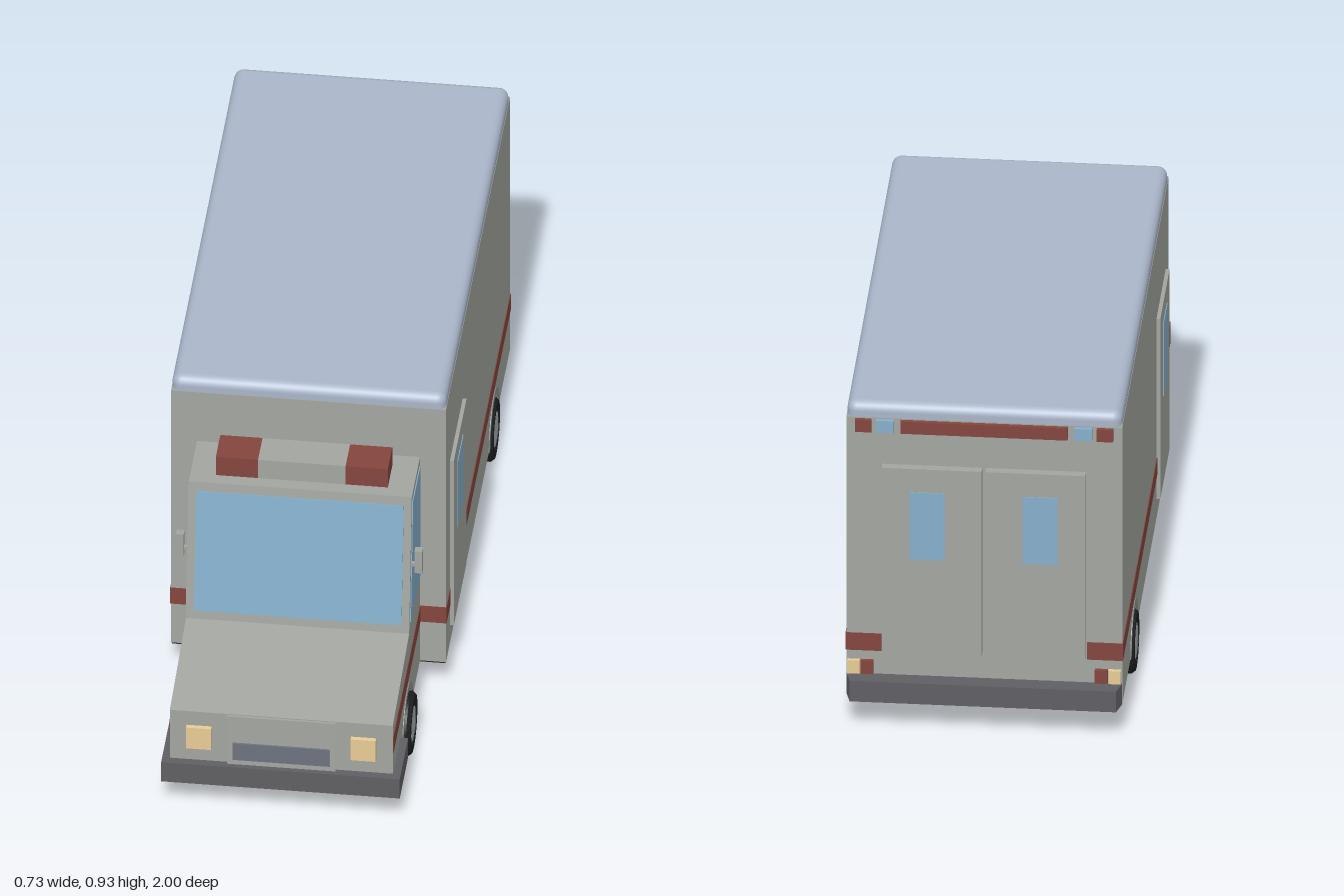
import * as THREE from 'three';
import { RoundedBoxGeometry } from 'three/addons/geometries/RoundedBoxGeometry.js';
import { toCreasedNormals } from 'three/addons/utils/BufferGeometryUtils.js';

const paint = (color) => new THREE.MeshStandardMaterial({ color });
const MAT = {
  body: paint(0xa3a6a0), roof: paint(0xaab6ca), glass: paint(0x86b0cc), red: paint(0x84463e),
  cream: paint(0xe8cc96), bumper: paint(0x606064), grille: paint(0x6d7380), floor: paint(0x2c2c2c),
  tyre: paint(0x1d2020), hub: paint(0xa8acb0), trim: paint(0x8e918c),
};

export function createModel() {
  const model = new THREE.Group();
  model.name = 'ambulance';

  const add = (name, geometry, mat) => {
    const mesh = new THREE.Mesh(geometry, MAT[mat]);
    mesh.name = name;
    model.add(mesh);
    return mesh;
  };
  // Box given by its limits on each axis
  const box = (name, mat, [x0, x1], [y0, y1], [z0, z1]) => {
    const mesh = add(name, new THREE.BoxGeometry(Math.abs(x1 - x0), y1 - y0, z1 - z0), mat);
    mesh.position.set((x0 + x1) / 2, (y0 + y1) / 2, (z0 + z1) / 2);
    return mesh;
  };
  // Side profile of [z, y] points extruded across x
  const profile = (name, mat, shape, x0, x1) => {
    const depth = Math.abs(x1 - x0);
    const geo = new THREE.ExtrudeGeometry(shape, { depth, bevelEnabled: false, curveSegments: 16 });
    geo.rotateY(-Math.PI / 2).translate(Math.max(x0, x1), 0, 0);
    return add(name, geo, mat);
  };
  const poly = (points) => new THREE.Shape(points.map(([z, y]) => new THREE.Vector2(z, y)));

  // Rear box body with rounded roof
  box('boxBody', 'body', [-0.355, 0.355], [0.087, 0.89], [-0.955, 0.405]);
  const roof = add('roof', new RoundedBoxGeometry(0.708, 0.08, 1.358, 4, 0.025), 'roof');
  roof.position.set(0, 0.89, -0.275);

  // Cab with sloping bonnet and windscreen
  profile('cab', 'body', poly([
    [0.4, 0.087], [0.977, 0.087], [0.98, 0.3], [0.635, 0.34], [0.58, 0.735], [0.4, 0.735],
  ]), -0.288, 0.288);
  box('underside', 'floor', [-0.353, 0.353], [0.083, 0.088], [-0.955, 0.404]);
  box('cabUnderside', 'floor', [-0.286, 0.286], [0.083, 0.088], [0.404, 0.975]);

  // Windscreen lies on the slanted front of the cab
  const slope = Math.atan2(0.055, 0.395);
  const screen = add('windscreen', new THREE.BoxGeometry(0.536, 0.348, 0.006), 'glass');
  screen.position.set(0, 0.5375, 0.6085);
  screen.rotation.x = -slope;

  // Nose panel, grille and bumpers
  box('nosePanel', 'body', [-0.14, 0.14], [0.14, 0.297], [0.95, 0.986]);
  box('grille', 'grille', [-0.125, 0.125], [0.163, 0.215], [0.97, 0.991]);
  box('frontBumper', 'bumper', [-0.308, 0.308], [0.085, 0.146], [0.82, 1]);
  const rear = new THREE.BoxGeometry(0.71, 0.06, 0.046);
  const pos = rear.attributes.position;
  for (let i = 0; i < pos.count; i++) if (pos.getZ(i) < 0) pos.setX(i, pos.getX(i) * 0.965);
  rear.computeVertexNormals();
  add('rearBumper', rear, 'bumper').position.set(0, 0.115, -0.977);

  // Light bar on the cab roof and light strip over the rear doors
  box('lightBarCentre', 'body', [-0.113, 0.113], [0.735, 0.793], [0.45, 0.545]);
  box('rearLightStrip', 'red', [-0.215, 0.215], [0.852, 0.887], [-0.966, -0.95]);

  // Wheel turned around its axle, outer face at +y before it is laid on its side
  const wheel = (name, s, z, inner, outer) => {
    const w = outer - inner;
    const rim = [[0, 0], [0.076, 0], [0.085, 0.01], [0.085, w - 0.01], [0.077, w],
      [0.056, w], [0.052, w - 0.01], [0, w - 0.01]].map(([r, a]) => new THREE.Vector2(r, a));
    const group = new THREE.Group();
    group.name = name;
    const tyre = new THREE.Mesh(toCreasedNormals(new THREE.LatheGeometry(rim, 24), 0.5), MAT.tyre);
    tyre.name = 'tyre';
    const hub = new THREE.Mesh(new THREE.CylinderGeometry(0.046, 0.05, 0.012, 24), MAT.hub);
    hub.name = 'hub';
    hub.position.y = w - 0.007;
    group.add(tyre, hub);
    group.position.set(s * inner, 0.085, z);
    group.rotation.z = -s * Math.PI / 2;
    model.add(group);
  };

  // Half ring around a wheel
  const arch = (s, z, x) => {
    const shape = new THREE.Shape();
    shape.absarc(z, 0.087, 0.108, 0, Math.PI, false);
    shape.absarc(z, 0.087, 0.089, Math.PI, 0, true);
    profile('wheelArch', 'trim', shape, s * (x - 0.01), s * (x + 0.002));
  };

  // Everything that is mirrored left and right
  for (const s of [-1, 1]) {
    const pair = (name, mat, [x0, x1], y, z) => box(name, mat, [s * x0, s * x1], y, z);

    wheel('frontWheel', s, 0.675, 0.205, 0.305);
    wheel('rearWheel', s, -0.61, 0.205, 0.362);
    arch(s, 0.675, 0.288);
    arch(s, -0.61, 0.355);

    // Cab side window
    profile('cabSideWindow', 'glass', poly([
      [0.417, 0.365], [0.617, 0.365], [0.57, 0.715], [0.417, 0.715],
    ]), s * 0.28, s * 0.2905);

    // Mirror on a short arm
    pair('mirror', 'body', [0.298, 0.318], [0.513, 0.582], [0.585, 0.605]);
    pair('mirrorArm', 'body', [0.28, 0.3], [0.53, 0.54], [0.59, 0.6]);

    // Side door with window
    pair('sideDoor', 'body', [0.35, 0.365], [0.143, 0.667], [0.05, 0.32]);
    pair('sideDoorWindow', 'glass', [0.36, 0.367], [0.4, 0.612], [0.13, 0.243]);

    // Red stripe along the cab, around the box corners and along the sides
    const stripe = [0.212, 0.262];
    pair('cabStripe', 'red', [0.28, 0.2895], stripe, [0.404, 0.977]);
    pair('boxFrontStripe', 'red', [0.287, 0.357], stripe, [0.322, 0.407]);
    pair('boxSideStripe', 'red', [0.345, 0.357], stripe, [-0.957, 0.05]);
    pair('boxRearStripe', 'red', [0.265, 0.356], stripe, [-0.957, -0.94]);

    // Rear doors with windows
    pair('rearDoor', 'body', [0.005, 0.262], [0.22, 0.757], [-0.978, -0.95]);
    pair('rearDoorWindow', 'glass', [0.1, 0.19], [0.495, 0.69], [-0.98, -0.97]);

    // Lamps
    pair('headlight', 'cream', [0.18, 0.245], [0.19, 0.256], [0.97, 0.992]);
    pair('lightBarEnd', 'red', [0.113, 0.222], [0.735, 0.793], [0.45, 0.545]);
    pair('rearBlueLamp', 'glass', [0.232, 0.278], [0.852, 0.887], [-0.966, -0.95]);
    pair('rearRedLamp', 'red', [0.29, 0.332], [0.852, 0.887], [-0.966, -0.95]);
    pair('reversingLamp', 'cream', [0.32, 0.352], [0.148, 0.186], [-0.966, -0.95]);
    pair('tailLamp', 'red', [0.285, 0.318], [0.148, 0.186], [-0.966, -0.95]);
  }
  return model;
}
